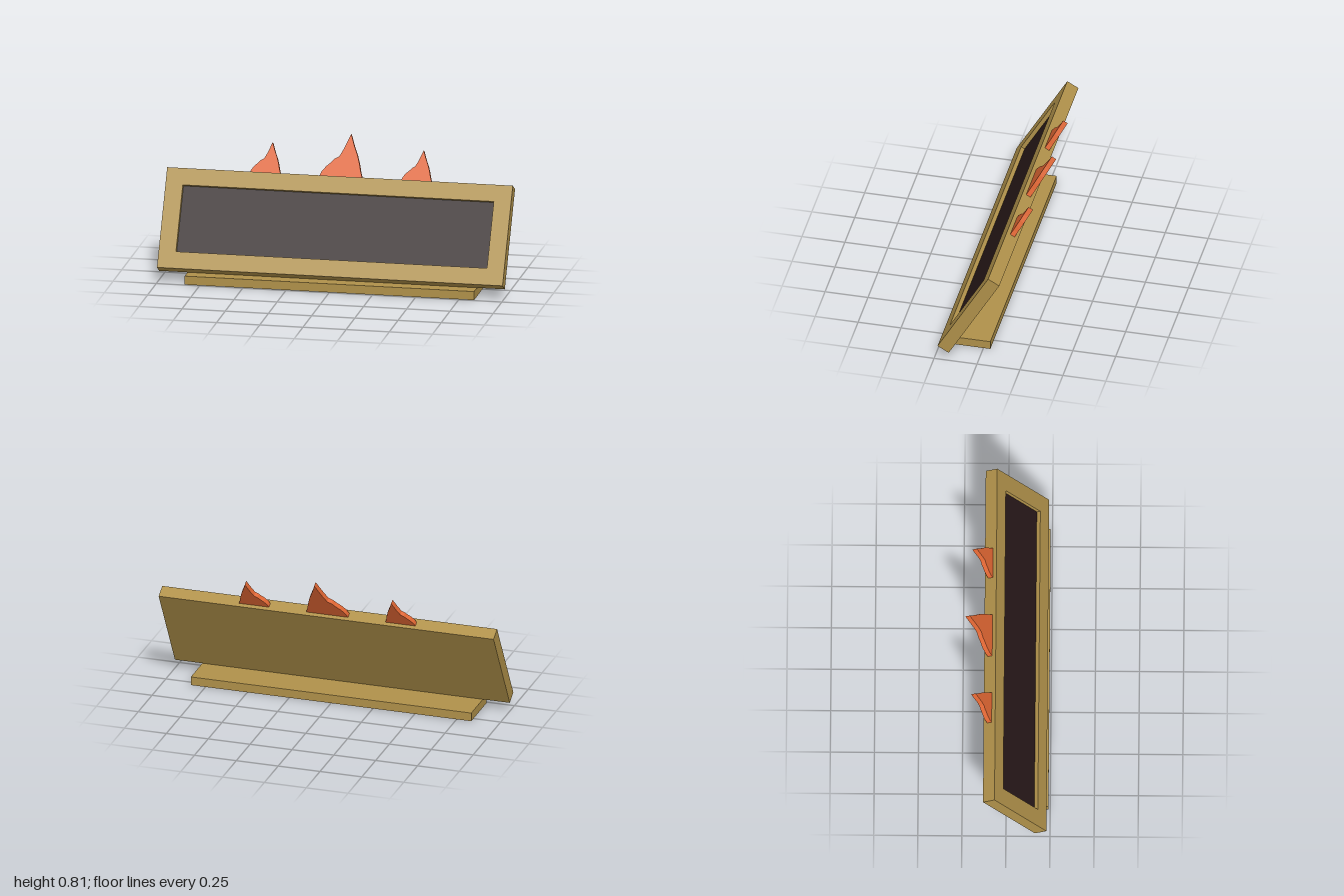
import * as THREE from 'three';

const gold = new THREE.MeshStandardMaterial({ color: 0xb0914a });
const dark = new THREE.MeshStandardMaterial({ color: 0x281819 });
const orange = new THREE.MeshStandardMaterial({ color: 0xe06633 });

function add(parent, name, geometry, material, x = 0, y = 0, z = 0) {
  const mesh = new THREE.Mesh(geometry, material);
  mesh.name = name;
  mesh.position.set(x, y, z);
  parent.add(mesh);
  return mesh;
}

function rectangle(Type, w, h) {
  return new Type([[-w, -h], [w, -h], [w, h], [-w, h]].map(([x, y]) => new THREE.Vector2(x / 2, y / 2)));
}

// Lopsided flame outline, standing on y = 0
function flameGeometry(scale, depth) {
  const outline = [
    [-0.125, 0], [-0.113, 0.03], [-0.09, 0.062], [-0.06, 0.09], [-0.045, 0.108], [-0.02, 0.124], [0, 0.165],
    [0.035, 0.258], [0.06, 0.19], [0.083, 0.137], [0.1, 0.085], [0.11, 0.045], [0.125, 0],
  ];
  const shape = new THREE.Shape(outline.map(([x, y]) => new THREE.Vector2(x * scale, y * scale)).reverse());
  return new THREE.ExtrudeGeometry(shape, { depth, bevelEnabled: false }).translate(0, 0, -depth / 2);
}

export function createModel() {
  const model = new THREE.Group();
  model.name = 'displaySign';

  // Flat foot
  add(model, 'base', new THREE.BoxGeometry(1.675, 0.05, 0.28), gold, 0, 0.025, 0.1);

  // Leaning panel
  const panel = new THREE.Group();
  panel.name = 'panel';
  panel.position.set(0, 0.326, 0.05);
  panel.rotation.x = -Math.PI / 6;
  model.add(panel);

  const width = 2, height = 0.589, thickness = 0.075, recess = 0.025;
  const backDepth = thickness - recess;
  add(panel, 'backBoard', new THREE.BoxGeometry(width, height, backDepth), gold, 0, 0, -recess / 2);

  // Raised border around the recessed screen
  const border = rectangle(THREE.Shape, width, height);
  border.holes.push(rectangle(THREE.Path, 1.8, 0.392));
  add(panel, 'frame', new THREE.ExtrudeGeometry(border, { depth: recess, bevelEnabled: false }),
    gold, 0, 0, thickness / 2 - recess);
  add(panel, 'screen', new THREE.BoxGeometry(1.8, 0.392, 0.004), dark, 0, 0, thickness / 2 - recess);

  // Flames along the top edge
  for (const [name, x, scale] of [['rightFlame', -0.437, 0.715], ['middleFlame', 0, 1], ['leftFlame', 0.437, 0.715]]) {
    add(panel, name, flameGeometry(scale, 0.029), orange, x, height / 2, 0);
  }
  return model;
}
